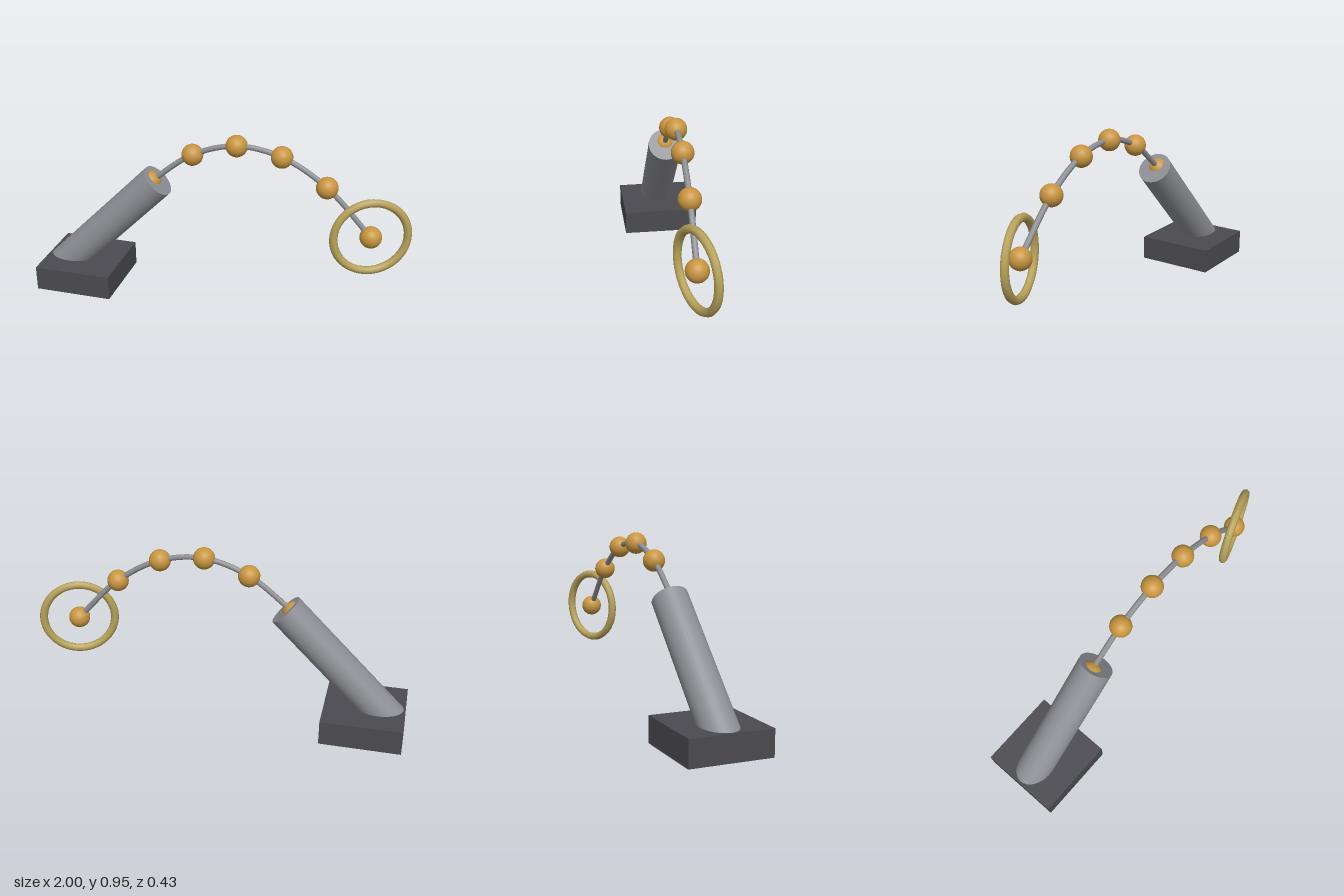
import * as THREE from 'three';

const material = (name, color) => {
  const m = new THREE.MeshStandardMaterial({ color });
  m.name = name;
  return m;
};

export function createModel() {
  const model = new THREE.Group();
  const darkGrey = material('dark grey', 0x4b4a50);
  const steel = material('steel grey', 0x8d8e94);
  const rodGrey = material('rod grey', 0x8f9094);
  const amber = material('amber', 0xc8963f);
  const brass = material('brass', 0xb8a35a);

  const add = (name, geometry, mat, x = 0, y = 0, z = 0) => {
    const mesh = new THREE.Mesh(geometry, mat);
    mesh.name = name;
    mesh.position.set(x, y, z);
    model.add(mesh);
    return mesh;
  };

  // Square base block
  add('base', new THREE.BoxGeometry(0.427, 0.135, 0.427), darkGrey, -0.7865, 0.0675, 0);

  // Barrel leaning at 45 degrees, its lower end sunk into the base
  const length = 0.83;
  const half = (length / 2) * Math.SQRT1_2;
  const barrel = add('barrel', new THREE.CylinderGeometry(0.093, 0.093, length, 32), steel,
    -0.343 - half, 0.65 - half, 0);
  barrel.rotation.z = -Math.PI / 4;

  // Balls evenly spaced along a falling arc
  const points = [0.64, 0.819, 0.893, 0.858, 0.718, 0.472]
    .map((y, i) => new THREE.Vector3(-0.385 + i * 0.236, y, 0));
  const ball = new THREE.SphereGeometry(0.057, 24, 16);
  points.forEach((p, i) => add(`ball${i + 1}`, ball, amber, p.x, p.y, p.z));

  // Thin rod threading the balls
  const arc = new THREE.CatmullRomCurve3(points);
  add('rod', new THREE.TubeGeometry(arc, 48, 0.015, 8), rodGrey);

  // Target ring around the last ball, turned about the vertical
  const end = points[points.length - 1];
  const ring = add('ring', new THREE.TorusGeometry(0.192, 0.0215, 8, 48), brass, end.x, end.y, 0);
  ring.rotation.y = 0.35;

  return model;
}
